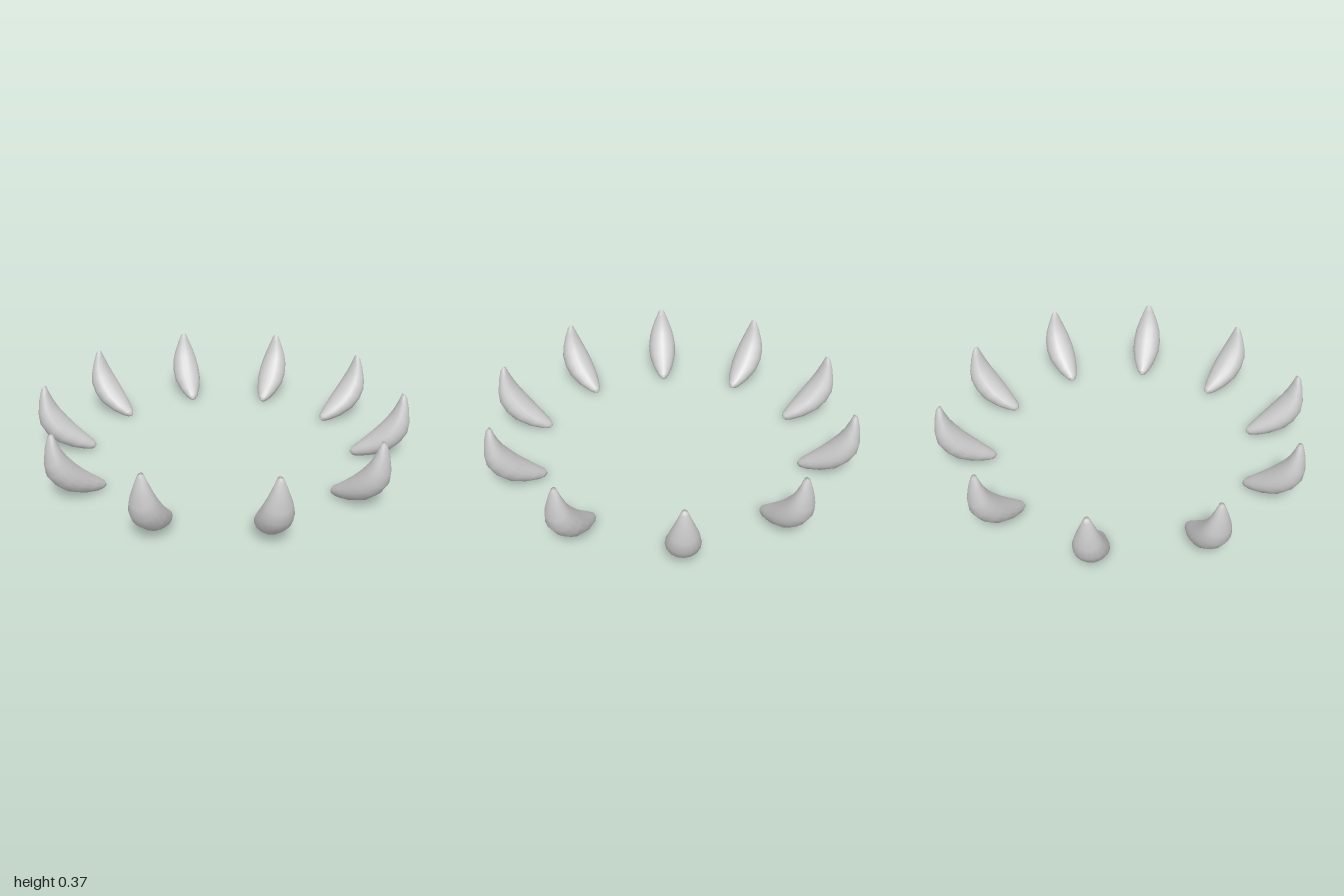
import * as THREE from 'three';
import { mergeVertices } from 'three/addons/utils/BufferGeometryUtils.js';

const PETALS = 10;
const SIDES = 16;

// Petal sections: distance along the chord, inner offset, outer offset, half width
const SECTIONS = [
  [-0.008, 0.003, 0.003, 0],
  [-0.003, -0.014, 0.021, 0.015],
  [0.02, -0.02, 0.048, 0.034],
  [0.075, -0.008, 0.097, 0.059],
  [0.15, 0.007, 0.14, 0.08],
  [0.215, 0.014, 0.154, 0.083],
  [0.28, 0.015, 0.148, 0.075],
  [0.33, 0.01, 0.118, 0.06],
  [0.385, -0.004, 0.066, 0.036],
  [0.425, -0.018, 0.017, 0.016],
  [0.43, -0.002, -0.002, 0],
];

// Closed, curved petal leaning outward along +z
function petalGeometry() {
  const base = new THREE.Vector3(0, 0.015, 0.71);
  const along = new THREE.Vector3(0, 0.808, 0.589);
  const outward = new THREE.Vector3(0, -0.589, 0.808);
  const positions = [];
  const index = [];
  const last = SECTIONS.length - 1;

  SECTIONS.forEach(([s, inner, outer, width], i) => {
    for (let j = 0; j < SIDES; j++) {
      const a = (j / SIDES) * Math.PI * 2;
      const n = (inner + outer) / 2 + ((outer - inner) / 2) * Math.cos(a);
      const p = base.clone().addScaledVector(along, s).addScaledVector(outward, n);
      positions.push(width * Math.sin(a), p.y, p.z);
    }
  });

  // Quads between sections, single triangles at the two end points
  for (let i = 0; i < last; i++) {
    for (let j = 0; j < SIDES; j++) {
      const k = (j + 1) % SIDES;
      const r0 = i * SIDES;
      const r1 = r0 + SIDES;
      if (i > 0) index.push(r0 + j, r0 + k, r1 + k);
      if (i < last - 1) index.push(r0 + j, r1 + k, r1 + j);
    }
  }

  const geometry = new THREE.BufferGeometry();
  geometry.setAttribute('position', new THREE.Float32BufferAttribute(positions, 3));
  geometry.setIndex(index);
  const merged = mergeVertices(geometry, 1e-5);
  merged.computeVertexNormals();
  return merged;
}

export function createModel() {
  const group = new THREE.Group();
  group.name = 'petalRing';
  const geometry = petalGeometry();
  const material = new THREE.MeshStandardMaterial({ color: 0xcccccc });

  // Ring of identical petals
  for (let i = 0; i < PETALS; i++) {
    const petal = new THREE.Mesh(geometry, material);
    petal.name = `petal${i + 1}`;
    petal.rotation.y = (i / PETALS) * Math.PI * 2;
    group.add(petal);
  }
  return group;
}
